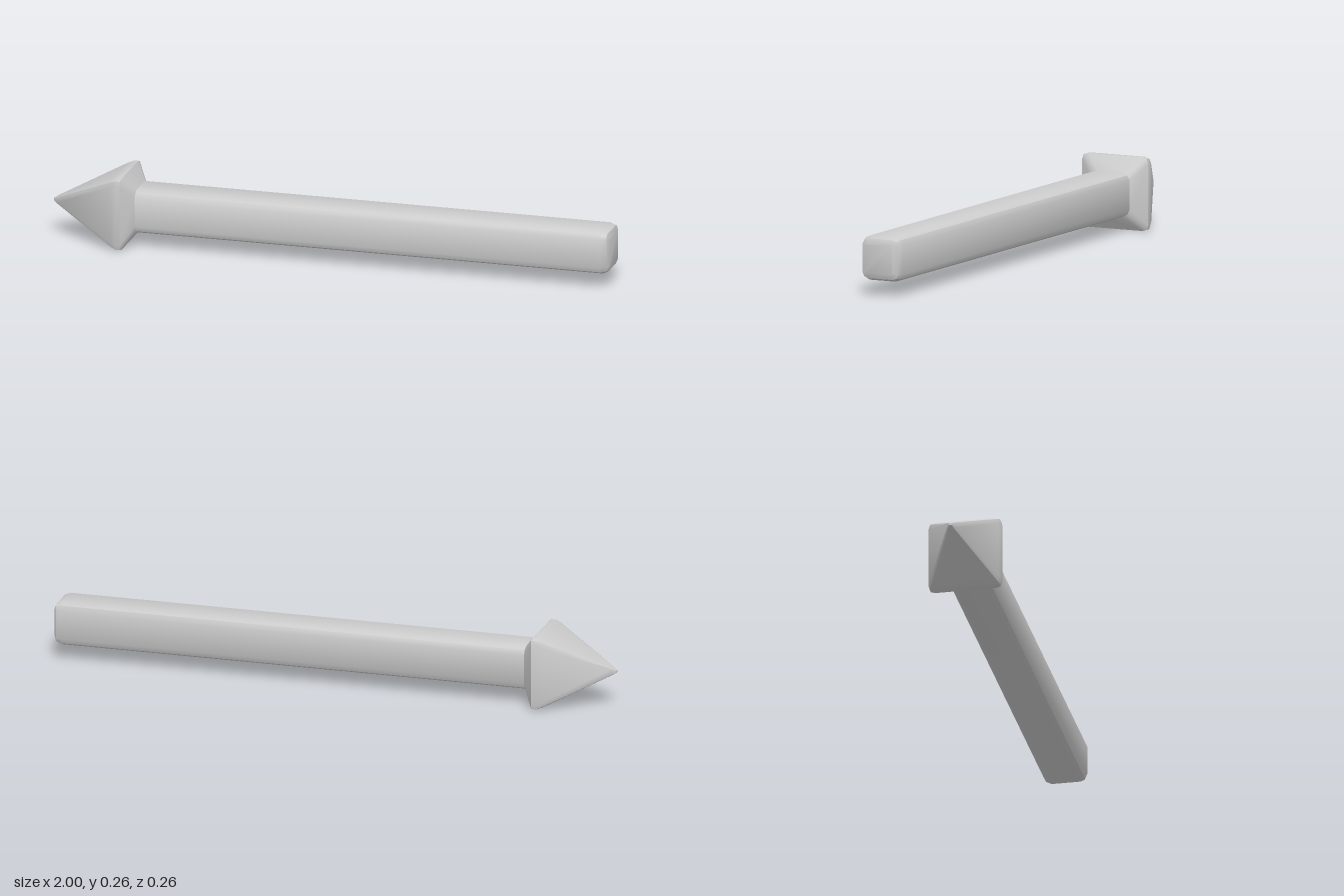
import * as THREE from 'three';
import { toCreasedNormals } from 'three/addons/utils/BufferGeometryUtils.js';

const CENTRE_Y = 0.129;

// Square ring with two-segment corners: h = half width, f = half length of the flat, c = corner point
function ring([x, h, f, c]) {
  const points = [];
  for (let k = 0; k < 4; k++) {
    const cos = Math.round(Math.cos(k * Math.PI / 2));
    const sin = Math.round(Math.sin(k * Math.PI / 2));
    for (const [y, z] of [[h, -f], [h, f], [c, c]]) {
      points.push([x, CENTRE_Y + y * cos - z * sin, y * sin + z * cos]);
    }
  }
  return points;
}

// Skin a row of rings along x, optionally closing either end
function loft(name, sections, capStart, capEnd, material) {
  const rings = sections.map(ring);
  const n = rings[0].length;
  const positions = rings.flat(2);
  const index = [];
  for (let i = 0; i < rings.length - 1; i++) {
    for (let j = 0; j < n; j++) {
      const a = i * n + j, b = i * n + (j + 1) % n;
      index.push(a, b, a + n, b, b + n, a + n);
    }
  }
  const last = (rings.length - 1) * n;
  for (let j = 1; j < n - 1; j++) {
    if (capStart) index.push(0, j + 1, j);
    if (capEnd) index.push(last, last + j, last + j + 1);
  }
  const geometry = new THREE.BufferGeometry();
  geometry.setAttribute('position', new THREE.Float32BufferAttribute(positions, 3));
  geometry.setIndex(index);
  const mesh = new THREE.Mesh(toCreasedNormals(geometry, THREE.MathUtils.degToRad(35)), material);
  mesh.name = name;
  return mesh;
}

export function createModel() {
  const group = new THREE.Group();
  group.name = 'arrow';
  const material = new THREE.MeshStandardMaterial({ color: 0xcccccc });

  // Pyramid head: blunt tip, narrow rim, bevel back to the shaft
  group.add(loft('arrowHead', [
    [-1, 0.004, 0.003, 0.0035],
    [-0.985, 0.013, 0.01, 0.012],
    [-0.765, 0.121, 0.1, 0.116],
    [-0.745, 0.128, 0.106, 0.123],
    [-0.73, 0.128, 0.106, 0.123],
    [-0.69, 0.077, 0.05, 0.068],
  ], true, false, material));

  // Square shaft with softened edges and a rounded end
  group.add(loft('shaft', [
    [-0.69, 0.077, 0.05, 0.068],
    [0.973, 0.077, 0.05, 0.068],
    [0.992, 0.069, 0.05, 0.063],
    [1, 0.05, 0.048, 0.049],
  ], false, true, material));

  return group;
}
